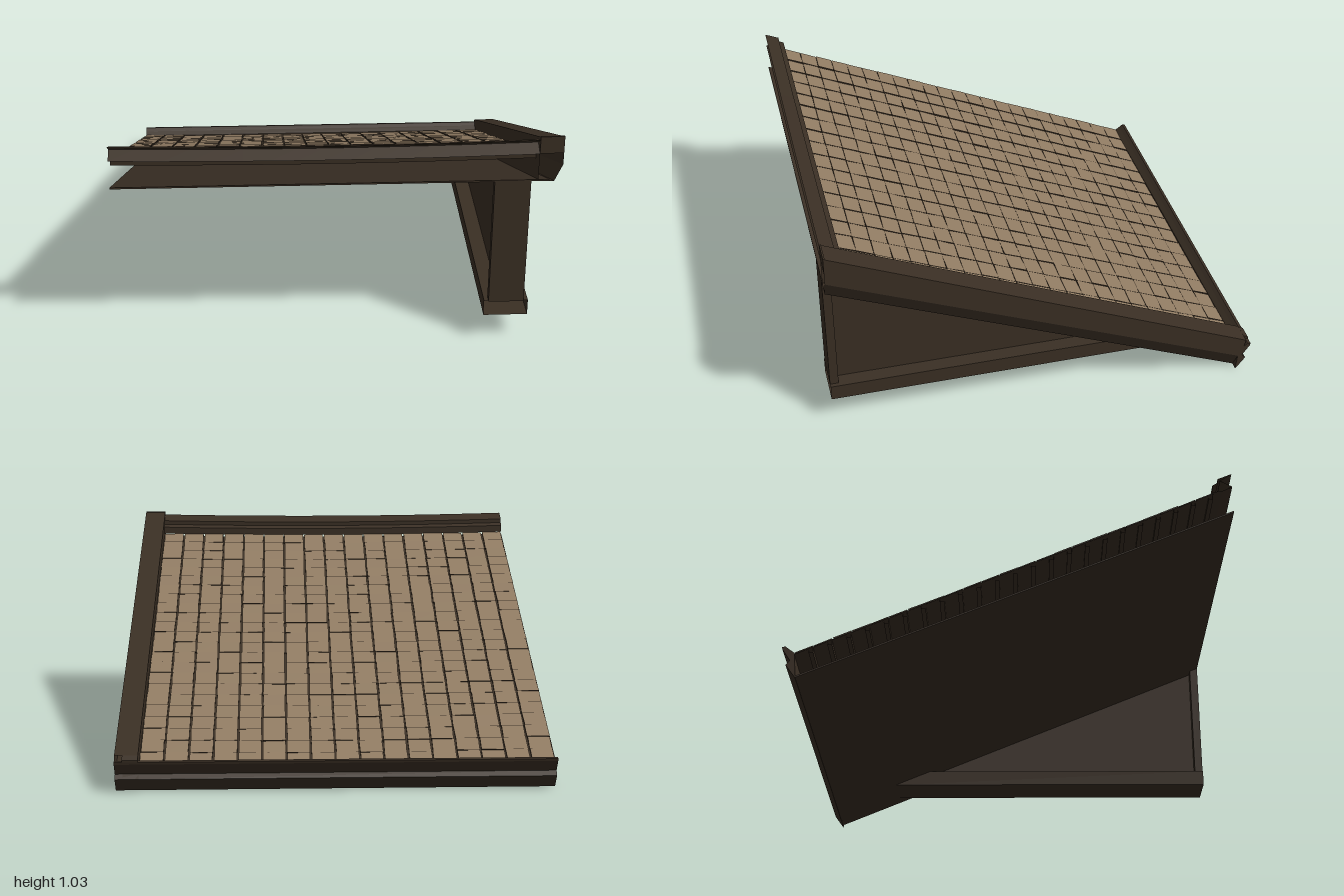
import * as THREE from 'three';
import { mergeGeometries } from 'three/addons/utils/BufferGeometryUtils.js';

const LEFT = -0.985, RIGHT = 0.985, INNER = 0.88;
const topY = z => 0.595 + 0.435 * z;      // top of the verge board
const underY = z => 0.395 + 0.42 * z;     // underside of the roof
const tileY = z => 0.532 + 0.43 * z;      // tile surface
const sag = x => 0.013 * Math.max(0, 1 - (x / 0.985) ** 2);

function seeded(seed) {
  return () => {
    seed = (seed * 16807) % 2147483647;
    return seed / 2147483647 - 0.5;
  };
}

// Joins closed rings of [x, y, z] points into an open-ended, flat-faced shell.
function loft(rings) {
  const pos = [];
  for (let i = 0; i + 1 < rings.length; i++) {
    const a = rings[i], b = rings[i + 1], n = a.length;
    for (let j = 0; j < n; j++) {
      const k = (j + 1) % n;
      pos.push(...a[j], ...b[k], ...b[j], ...a[j], ...a[k], ...b[k]);
    }
  }
  const g = new THREE.BufferGeometry();
  g.setAttribute('position', new THREE.Float32BufferAttribute(pos, 3));
  g.computeVertexNormals();
  return g;
}

// Sweeps a [z, y] profile across the roof, following the sag.
function saggingSweep(profile) {
  const rings = [];
  for (let i = 0; i <= 16; i++) {
    const x = LEFT + (INNER - LEFT) * i / 16;
    rings.push(profile.map(([z, y]) => [x, y - sag(x), z]));
  }
  return loft(rings);
}

// Profile of [z, y] points extruded straight along x.
function extrudeX(points, x0, x1) {
  const g = new THREE.ExtrudeGeometry(
    new THREE.Shape(points.map(p => new THREE.Vector2(-p[0], p[1]))),
    { depth: x1 - x0, bevelEnabled: false });
  g.rotateY(Math.PI / 2);
  g.translate(x0, 0, 0);
  return g;
}

export function createModel() {
  const model = new THREE.Group();
  model.name = 'roofSection';
  const wood = new THREE.MeshStandardMaterial({ color: 0x3a2f24, side: THREE.DoubleSide });
  wood.name = 'darkWood';
  const tan = new THREE.MeshStandardMaterial({ color: 0x917c63 });
  tan.name = 'tanTile';
  const add = (name, geometry, material = wood) => {
    const mesh = new THREE.Mesh(geometry, material);
    mesh.name = name;
    model.add(mesh);
  };

  // Soffit panel under the whole roof
  add('soffitPanel', extrudeX([
    [1, underY(1)], [1, underY(1) + 0.008], [-0.935, underY(-0.935) + 0.008], [-0.935, underY(-0.935)],
  ], LEFT, 0.93));

  // Verge board: hollow, with a chamfered lower outer edge
  const vergeRing = (zTop, zLow) => {
    const t = topY(zTop), b = underY(zLow), zMid = (zTop + zLow) / 2;
    return [
      [INNER, t, zTop], [RIGHT, t, zTop], [RIGHT, underY(zMid) + 0.08, zMid], [0.95, b, zLow], [INNER, b, zLow],
    ];
  };
  add('vergeBoard', loft([vergeRing(1, 1), vergeRing(-0.975, -0.935)]));
  add('vergeFront', new THREE.BoxGeometry(RIGHT - INNER, 0.08, 0.008).translate((RIGHT + INNER) / 2, 0.99, 0.996));
  add('vergeEnd', extrudeX([
    [-0.935, 0], [-0.98, 0.062], [-0.962, 0.082], [-0.997, 0.135],
    [-1, 0.155], [-0.975, 0.171], [-0.93, 0.15], [-0.92, 0.01],
  ], INNER, 0.95));

  // Ridge cap: a stepped, sagging shell with a notched front
  add('ridgeCap', saggingSweep([
    [1, 0.95], [0.945, 0.981], [1, 1.017], [0.935, 0.99], [0.935, 0.97], [0.91, 0.957], [0.91, 0.922], [0.95, 0.925],
  ]));

  // Double-lobed eave moulding, kept below the tiles
  add('eaveMoulding', extrudeX([
    [-0.935, 0], [-0.98, 0.062], [-0.962, 0.082], [-0.997, 0.135],
    [-1, 0.146], [-0.985, 0.15], [-0.968, 0.136], [-0.945, 0.12], [-0.935, 0.012],
  ], LEFT, RIGHT));

  // Deck below the tiles, with one batten per row
  const rows = 23, cols = 17, z0 = -0.945, z1 = 0.91;
  const pitchZ = (z1 - z0) / rows, pitchX = (INNER - LEFT) / cols;
  add('deck', saggingSweep([
    [z0, tileY(z0) - 0.016], [z0, tileY(z0) - 0.012], [z1, tileY(z1) - 0.012], [z1, tileY(z1) - 0.016],
  ]));
  const battens = [];
  for (let r = 1; r <= rows; r++) {
    const z = z0 + pitchZ * r, y = tileY(z) - 0.015;
    battens.push(saggingSweep([[z, y], [z, y - 0.022], [z - 0.02, y - 0.022], [z - 0.02, y - 0.008]]));
  }
  add('battens', mergeGeometries(battens));

  // Rows of uneven tiles: thin dark bodies with tan faces
  const rand = seeded(7);
  const bodies = [], faces = [];
  const slope = Math.atan(0.43);
  const length = pitchZ / Math.cos(slope) - 0.003;
  for (let r = 0; r < rows; r++) {
    for (let c = 0; c < cols; c++) {
      const x = LEFT + pitchX * (c + 0.5), z = z0 + pitchZ * (r + 0.5);
      const width = pitchX - 0.007 + rand() * 0.004;
      const place = new THREE.Matrix4()
        .makeRotationFromEuler(new THREE.Euler(-slope + rand() * 0.02, rand() * 0.06, rand() * 0.02))
        .setPosition(x + rand() * 0.002, tileY(z) - sag(x) + rand() * 0.003, z);
      bodies.push(new THREE.BoxGeometry(width, 0.007, length).translate(0, -0.0055, 0).applyMatrix4(place));
      faces.push(new THREE.PlaneGeometry(width, length).rotateX(-Math.PI / 2).applyMatrix4(place));
    }
  }
  add('tileBodies', mergeGeometries(bodies));
  add('tileFaces', mergeGeometries(faces), tan);

  // Gable: inset triangular wall, front post and open-ended bottom beam
  const tip = y => (y - 0.395) / 0.42;
  add('gableWall', extrudeX([[0.97, 0.2], [0.97, underY(0.97)], [tip(0.2), 0.2]], 0.74, 0.8));
  add('gablePost', extrudeX([[1, 0.2], [1, underY(1)], [0.96, underY(0.96)], [0.96, 0.2]], 0.69, 0.85));
  const beamRing = (zLow, zHigh) => [
    [0.67, 0.13, zLow], [0.87, 0.13, zLow], [0.87, 0.205, zHigh], [0.67, 0.205, zHigh],
  ];
  add('gableBeam', loft([beamRing(1, 1), beamRing(tip(0.13), tip(0.205))]));

  return model;
}
